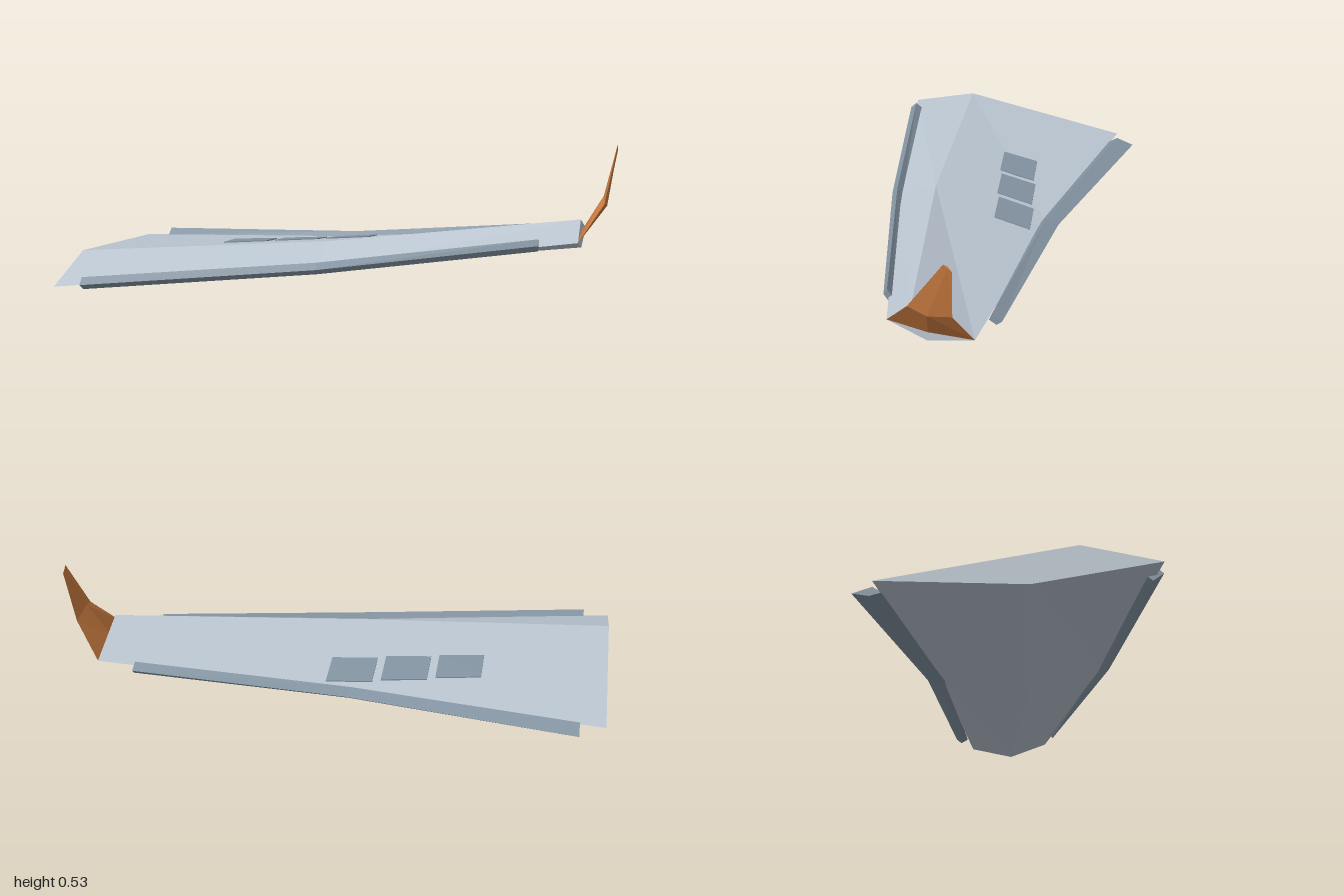
import * as THREE from 'three';

const mat = (name, color) => {
  const m = new THREE.MeshStandardMaterial({ color, flatShading: true });
  m.name = name;
  return m;
};

// Faceted skin through equal rings of [x, y, z] points, capped at both ends.
// Rings run clockwise when seen from the end they advance towards.
function loft(name, rings, material) {
  const n = rings[0].length;
  const last = rings.length - 1;
  const pos = [];
  const tri = (a, b, c) => pos.push(...a, ...b, ...c);
  for (let i = 0; i < last; i++) {
    for (let j = 0; j < n; j++) {
      const k = (j + 1) % n;
      tri(rings[i][j], rings[i + 1][k], rings[i][k]);
      tri(rings[i][j], rings[i + 1][j], rings[i + 1][k]);
    }
  }
  for (let j = 1; j < n - 1; j++) {
    tri(rings[0][0], rings[0][j], rings[0][j + 1]);
    tri(rings[last][0], rings[last][j + 1], rings[last][j]);
  }
  const g = new THREE.BufferGeometry();
  g.setAttribute('position', new THREE.Float32BufferAttribute(pos, 3));
  g.computeVertexNormals();
  const mesh = new THREE.Mesh(g, material);
  mesh.name = name;
  return mesh;
}

// Cross-section at x from [y, z] pairs: leading, upper, trailing, lower
const section = (x, ...pts) => pts.map(([y, z]) => [x, y, z]);

export function createModel() {
  const hull = mat('pale blue grey', 0xbcc7d2);
  const trim = mat('slate grey', 0x8595a3);
  const accent = mat('burnt orange', 0xc87a40);
  const group = new THREE.Group();
  group.name = 'wing';

  // Main wing, diamond section at root, middle and tip
  const wing = [
    section(-1, [0.05, 0.52], [0.13, 0.25], [0.05, -0.43], [0, 0.09]),
    section(-0.06, [0.103, 0.22], [0.177, 0.06], [0.1, -0.4], [0.05, -0.05]),
    section(0.88, [0.18, -0.13], [0.255, -0.22], [0.175, -0.45], [0.13, -0.28]),
  ];
  group.add(loft('wingPanel', wing, hull));

  // Strips along the leading and trailing edges
  group.add(loft('leadingEdgeStrip', [
    section(-0.9, [0.06, 0.512], [0.085, 0.487], [0.036, 0.476], [0.036, 0.475]),
    section(-0.06, [0.106, 0.248], [0.13, 0.226], [0.107, 0.203], [0.084, 0.222]),
    section(0.735, [0.176, -0.056], [0.2, -0.07], [0.176, -0.09], [0.151, -0.076]),
  ].map((r, i) => (i ? r : section(-0.9, [0.06, 0.512], [0.085, 0.487], [0.06, 0.45], [0.036, 0.476]))), trim));
  group.add(loft('trailingEdgeStrip', [
    section(-0.905, [0.055, -0.42], [0.078, -0.455], [0.058, -0.525], [0.045, -0.465]),
    section(-0.06, [0.1, -0.377], [0.12, -0.4], [0.104, -0.45], [0.085, -0.42]),
    section(0.735, [0.165, -0.447], [0.186, -0.456], [0.168, -0.495], [0.15, -0.475]),
  ], trim));

  // Upturned winglet
  group.add(loft('winglet', [
    section(0.88, [0.18, -0.13], [0.2, -0.28], [0.175, -0.45], [0.165, -0.28]),
    [[0.967, 0.315, -0.242], [0.958, 0.335, -0.31], [0.967, 0.31, -0.402], [0.972, 0.295, -0.315]],
    [[1, 0.527, -0.383], [0.997, 0.52, -0.398], [1, 0.505, -0.413], [1, 0.515, -0.398]],
  ], accent));

  // Height of the rear upper skin, which dips along its diagonals
  const v = (i, j) => new THREE.Vector3(...wing[i][j]);
  const planes = [
    [v(0, 1), v(0, 2), v(1, 2)],
    [v(0, 1), v(1, 2), v(1, 1)],
    [v(1, 1), v(1, 2), v(2, 2)],
  ].map((p) => new THREE.Plane().setFromCoplanarPoints(...p));
  const skinY = (x, z) => Math.max(...planes.map(({ normal: n, constant: c }) => -(n.x * x + n.z * z + c) / n.y));

  // Three thin access panels lying on the skin
  for (let i = 0; i < 3; i++) {
    const x0 = -0.53 + i * 0.198;
    const x1 = x0 + 0.168;
    const z0 = -0.065 - i * 0.057;
    const corners = [[x0, z0 - 0.145], [x1, z0 - 0.185], [x1, z0 - 0.04], [x0, z0]];
    const ring = (lift) => corners.map(([x, z]) => [x, skinY(x, z) + lift, z]);
    group.add(loft('accessPanel' + (i + 1), [ring(-0.002), ring(0.004)], trim));
  }
  return group;
}
